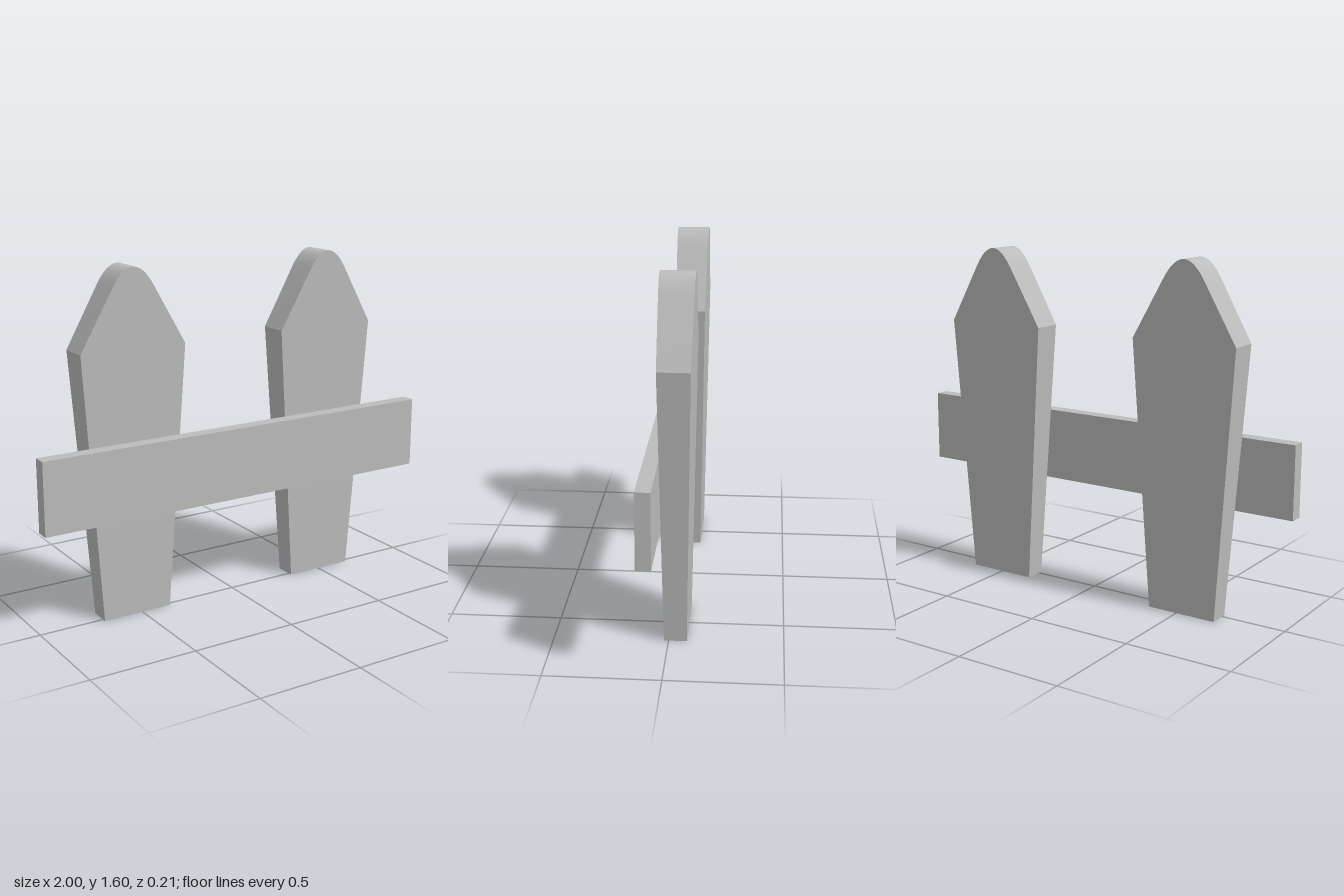
import * as THREE from 'three';
import { toCreasedNormals } from 'three/addons/utils/BufferGeometryUtils.js';

const HEIGHT = 1.597;

// Pointed board with a rounded tip, narrower and thinner towards the ground
function picketGeometry() {
  const shape = new THREE.Shape();
  shape.moveTo(-0.168, 0);
  shape.lineTo(0.168, 0);
  shape.lineTo(0.255, 1.24);
  shape.lineTo(0.1, 1.51);
  shape.quadraticCurveTo(0.05, HEIGHT, 0, HEIGHT);
  shape.quadraticCurveTo(-0.05, HEIGHT, -0.1, 1.51);
  shape.lineTo(-0.255, 1.24);
  shape.closePath();

  const geometry = new THREE.ExtrudeGeometry(shape, { depth: 1, bevelEnabled: false, curveSegments: 6 });
  const pos = geometry.attributes.position;
  for (let i = 0; i < pos.count; i++) {
    const thickness = THREE.MathUtils.lerp(0.1, 0.15, pos.getY(i) / HEIGHT);
    pos.setZ(i, (pos.getZ(i) - 0.5) * thickness - 0.03);
  }
  geometry.computeVertexNormals();
  return toCreasedNormals(geometry, 0.45);
}

export function createModel() {
  const model = new THREE.Group();
  model.name = 'fence';
  const grey = new THREE.MeshStandardMaterial({ color: 0xbcbcbc });
  grey.name = 'grey';

  // Two upright pickets
  const picket = picketGeometry();
  for (const [name, x] of [['rightPicket', -0.524], ['leftPicket', 0.502]]) {
    const mesh = new THREE.Mesh(picket, grey);
    mesh.name = name;
    mesh.position.x = x;
    model.add(mesh);
  }

  // Horizontal rail across the front
  const rail = new THREE.Mesh(new THREE.BoxGeometry(2, 0.336, 0.065), grey);
  rail.name = 'rail';
  rail.position.set(0, 0.658, 0.073);
  model.add(rail);

  return model;
}
